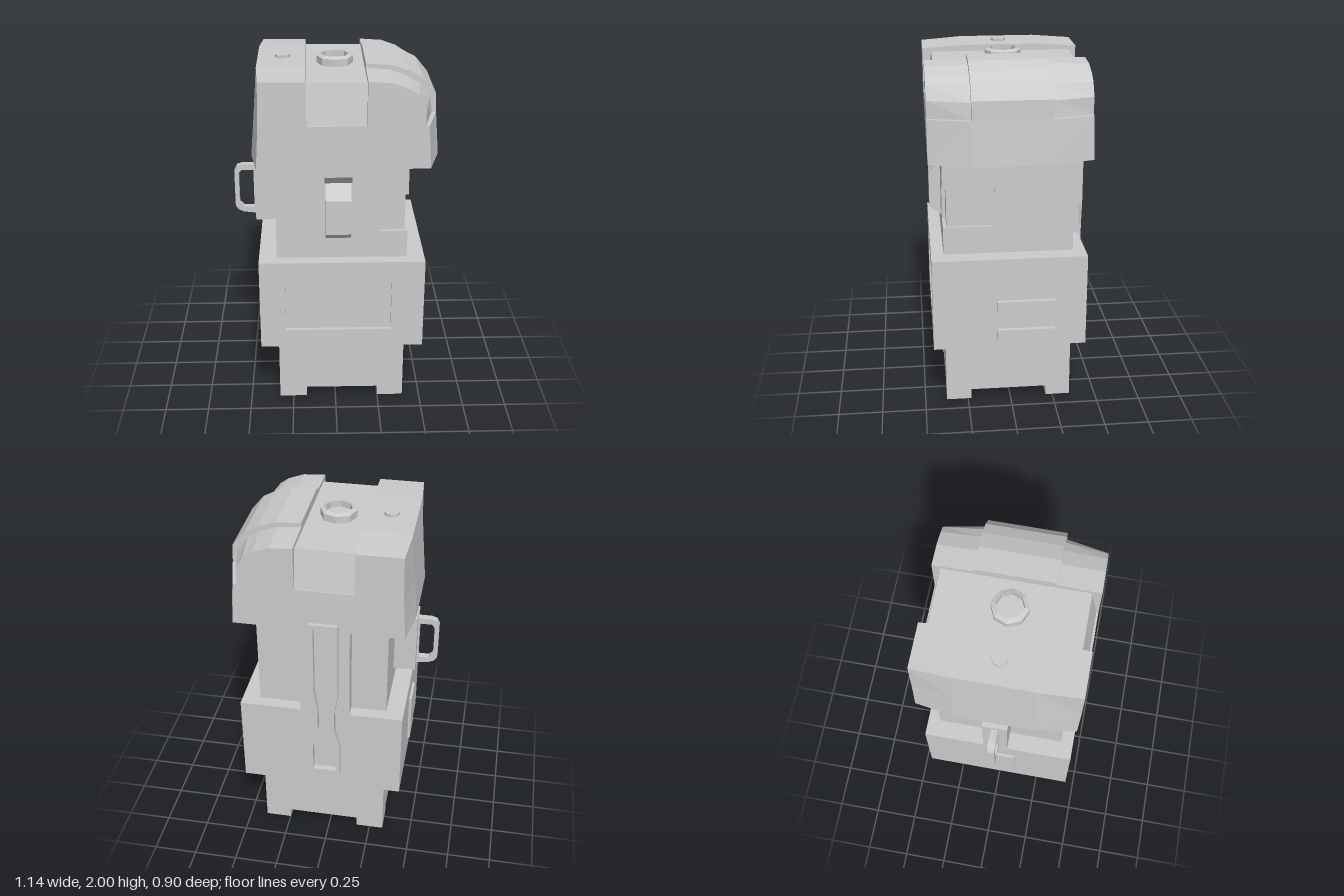
import * as THREE from 'three';

const material = new THREE.MeshStandardMaterial({ color: 0xcccccc, flatShading: true });

// Shape from [u, v] points with an optional hole
function makeShape(points, hole) {
  const toVec = (p) => new THREE.Vector2(p[0], p[1]);
  const shape = new THREE.Shape(points.map(toVec));
  if (hole) shape.holes.push(new THREE.Path(hole.map(toVec)));
  return shape;
}

const rect = (u0, v0, u1, v1) => [[u0, v0], [u1, v0], [u1, v1], [u0, v1]];

// Extrusion along z between z0 and z1
function prismZ(points, z0, z1, hole) {
  const g = new THREE.ExtrudeGeometry(makeShape(points, hole), { depth: z1 - z0, bevelEnabled: false });
  return g.translate(0, 0, z0);
}

// Extrusion along x of [z, y] points
function prismX(points, x0, x1) {
  return prismZ(points, 0, x1 - x0).rotateY(-Math.PI / 2).translate(x1, 0, 0);
}

// Extrusion along y of [x, z] points
function prismY(points, y0, y1) {
  return prismZ(points.map(([x, z]) => [x, -z]), 0, y1 - y0).rotateX(-Math.PI / 2).translate(0, y0, 0);
}

function box(x0, x1, y0, y1, z0, z1) {
  return new THREE.BoxGeometry(x1 - x0, y1 - y0, z1 - z0)
    .translate((x0 + x1) / 2, (y0 + y1) / 2, (z0 + z1) / 2);
}

// Skin over matching convex loops, closed at both ends
function loft(sections) {
  const pos = [];
  const tri = (a, b, c) => pos.push(...a, ...b, ...c);
  const n = sections[0].length;
  for (let s = 0; s < sections.length - 1; s++) {
    const a = sections[s], b = sections[s + 1];
    for (let i = 0; i < n; i++) {
      const j = (i + 1) % n;
      tri(a[i], a[j], b[j]);
      tri(a[i], b[j], b[i]);
    }
  }
  const first = sections[0], last = sections[sections.length - 1];
  for (let i = 1; i < n - 1; i++) {
    tri(first[0], first[i + 1], first[i]);
    tri(last[0], last[i], last[i + 1]);
  }
  const g = new THREE.BufferGeometry();
  g.setAttribute('position', new THREE.Float32BufferAttribute(pos, 3));
  g.computeVertexNormals();
  return g;
}

const atZ = (profile, z) => profile.map(([x, y]) => [x, y, z]);
const atY = (plan, y) => plan.map(([x, z]) => [x, y, z]);

export function createModel() {
  const model = new THREE.Group();
  const add = (name, geometry, parent = model) => {
    const mesh = new THREE.Mesh(geometry, material);
    mesh.name = name;
    parent.add(mesh);
    return mesh;
  };
  const addGroup = (name) => {
    const g = new THREE.Group();
    g.name = name;
    model.add(g);
    return g;
  };

  // Column, with a sunken panel wrapped round one corner
  const column = addGroup('column');
  add('columnLower', box(-0.33, 0.4, 0.06, 1.09, -0.35, 0.375), column);
  add('columnCornerPanel', prismY([
    [-0.33, 0.375], [0.25, 0.375], [0.25, 0.355], [0.385, 0.355],
    [0.385, 0.09], [0.4, 0.09], [0.4, -0.35], [-0.33, -0.35],
  ], 1.09, 1.31), column);
  add('columnUpper', box(-0.33, 0.4, 1.31, 1.5, -0.35, 0.375), column);

  // Feet at the four corners
  for (const [x0, x1] of [[-0.33, -0.17], [0.25, 0.4]])
    for (const [z0, z1] of [[-0.35, -0.21], [0.23, 0.375]])
      add('foot', box(x0, x1, 0, 0.06, z0, z1));

  // Wide belt with a sunken front panel
  const belt = addGroup('belt');
  add('beltBody', box(-0.43, 0.5, 0.39, 0.93, -0.42, 0.425), belt);
  add('beltFrontFrame', prismZ(rect(-0.43, 0.39, 0.5, 0.93), 0.425, 0.445, rect(-0.285, 0.5, 0.315, 0.8)), belt);
  add('beltSidePlate', box(-0.445, -0.43, 0.5, 0.8, -0.05, 0.117), belt);
  for (const y of [0.445, 0.62]) add('sideBar', box(0.5, 0.525, y, y + 0.06, -0.24, 0.085), belt);

  // Spine on the back and the waisted frame over it
  add('backSpine', box(-0.13, 0.15, 0.93, 1.5, -0.42, -0.35));
  const waisted = (inset) => {
    const side = [[0.09, 0.5 + inset], [0.09, 0.7], [0.06, 0.82], [0.06, 0.95], [0.08, 1.08], [0.08, 1.535 - inset]]
      .map(([w, y]) => [w - inset, y]);
    return [...side.map(([w, y]) => [0.01 + w, y]), ...side.reverse().map(([w, y]) => [0.01 - w, y])];
  };
  add('backFrame', prismZ(waisted(0), -0.453, -0.415, waisted(0.025)));

  // Front latch and the lip above it
  add('latch', prismX([[0.37, 1.05], [0.375, 1.05], [0.44, 1.1], [0.44, 1.3], [0.375, 1.38], [0.37, 1.38]], -0.055, 0.085));
  add('latchLip', prismX([[0.37, 1.38], [0.375, 1.38], [0.443, 1.44], [0.443, 1.5], [0.37, 1.5]], -0.06, 0.09));

  // Side block and carrying handle
  const handle = addGroup('handle');
  add('handleBlock', box(-0.455, -0.33, 1.03, 1.38, -0.065, 0.075), handle);
  add('handleLoop', prismZ(
    [[-0.45, 1.05], [-0.45, 1.355], [-0.53, 1.355], [-0.56, 1.345], [-0.575, 1.315], [-0.575, 1.1], [-0.56, 1.075], [-0.53, 1.06]],
    -0.015, 0.025,
    [[-0.465, 1.09], [-0.525, 1.09], [-0.55, 1.115], [-0.55, 1.3], [-0.535, 1.32], [-0.465, 1.32]]), handle);

  // Head skirt
  const head = addGroup('head');
  add('headSkirt', loft([
    atY([[-0.425, 0.445], [0.505, 0.45], [0.57, 0.22], [0.57, -0.21], [0.505, -0.435], [-0.425, -0.43], [-0.46, -0.21], [-0.46, 0.22]], 1.49),
    atY([[-0.41, 0.45], [0.49, 0.45], [0.55, 0.22], [0.55, -0.21], [0.49, -0.43], [-0.41, -0.43], [-0.44, -0.21], [-0.44, 0.22]], 1.73),
  ]), head);

  // Square cheek on one side, rounded cheek on the other
  const cheek = (name, end, mid) => add(name, loft([
    atZ(end, -0.43), atZ(mid, -0.21), atZ(mid, 0.22), atZ(end, 0.45),
  ]), head);
  cheek('squareCheek',
    [[-0.41, 1.73], [-0.155, 1.73], [-0.155, 1.97], [-0.405, 1.97]],
    [[-0.44, 1.73], [-0.155, 1.73], [-0.155, 1.985], [-0.42, 1.985]]);
  cheek('roundedCheek',
    [[0.165, 1.73], [0.47, 1.73], [0.47, 1.825], [0.43, 1.895], [0.38, 1.93], [0.29, 1.962], [0.165, 1.97]],
    [[0.165, 1.73], [0.525, 1.73], [0.515, 1.82], [0.455, 1.895], [0.39, 1.932], [0.29, 1.968], [0.165, 1.978]]);

  // Raised band over the rounded cheek
  add('raisedBand', prismZ(
    [[0.165, 1.72], [0.55, 1.72], [0.545, 1.835], [0.475, 1.92], [0.4, 1.96], [0.3, 1.993], [0.165, 2]],
    -0.21, 0.22), head);

  // Sunken channel running over the head
  add('topChannel', prismX([[0.44, 1.72], [0.4, 1.95], [-0.385, 1.95], [-0.425, 1.72]], -0.156, 0.166), head);

  // Octagonal top ring and small button
  const ring = [[0.075, 1.965], [0.075, 2], [0.1, 1.99], [0.1, 1.94]].map(([r, y]) => new THREE.Vector2(r, y)).reverse();
  add('topRing', new THREE.LatheGeometry([...ring, new THREE.Vector2(0, 1.965)], 8).translate(0.005, 0, 0.007), head);
  add('smallButton', new THREE.CylinderGeometry(0.042, 0.042, 0.03, 8).translate(-0.282, 1.985, 0.007), head);

  return model;
}
